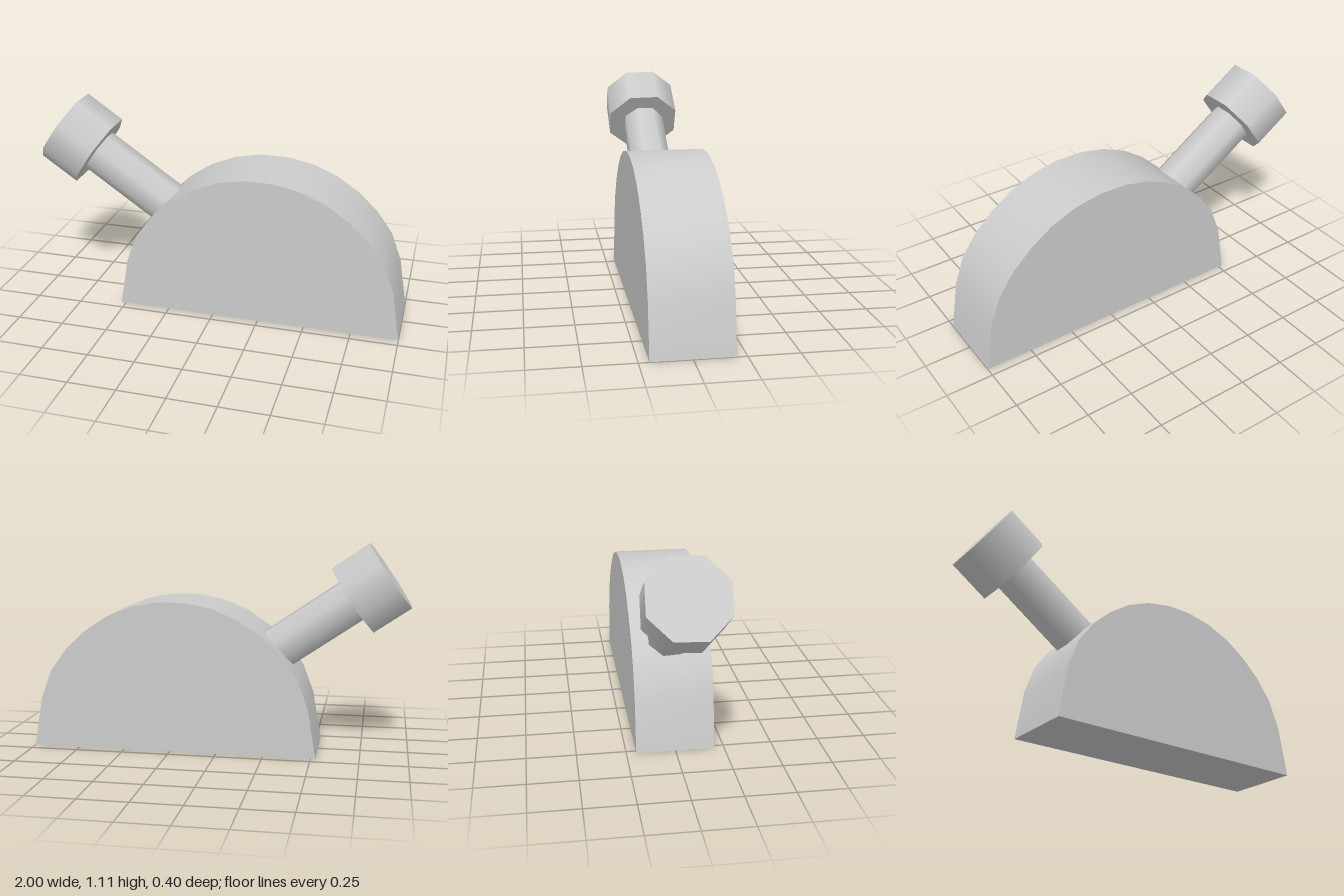
import * as THREE from 'three';
import { toCreasedNormals } from 'three/addons/utils/BufferGeometryUtils.js';

export function createModel() {
  const model = new THREE.Group();
  const material = new THREE.MeshStandardMaterial({ color: 0xcccccc });

  // Half-round block: right half of the outline, mirrored about its centre line
  const centreX = 0.237, depth = 0.4;
  const half = [[0.762, 0], [0.718, 0.265], [0.66, 0.42], [0.573, 0.54],
    [0.468, 0.638], [0.35, 0.717], [0.215, 0.773], [0.075, 0.8]];
  const outline = [
    ...half.map(([x, y]) => new THREE.Vector2(centreX + x, y)),
    ...half.slice().reverse().map(([x, y]) => new THREE.Vector2(centreX - x, y)),
  ];
  const blockGeometry = new THREE.ExtrudeGeometry(new THREE.Shape(outline), { depth, bevelEnabled: false });
  blockGeometry.translate(0, 0, -depth / 2);
  const block = new THREE.Mesh(toCreasedNormals(blockGeometry, 0.7), material);
  block.name = 'halfRoundBlock';
  model.add(block);

  // Tilted bolt: origin under the head, +y pointing out of the block
  const bolt = new THREE.Group();
  bolt.name = 'bolt';
  bolt.position.set(-0.695, 0.8125, 0);
  bolt.rotation.z = 0.97;
  model.add(bolt);

  // Eight-sided bar running from y0 to y1 along the bolt
  function addBar(name, radius, y0, y1, twist) {
    const geometry = new THREE.CylinderGeometry(radius, radius, y1 - y0, 8, 1, false, Math.PI / 8 + twist);
    geometry.translate(0, (y0 + y1) / 2, 0);
    const bar = new THREE.Mesh(geometry, material);
    bar.name = name;
    bolt.add(bar);
    return bar;
  }
  addBar('boltHead', 0.211, 0, 0.23, -0.03);
  addBar('boltShaft', 0.12, -0.6, 0, 0.05).position.z = -0.003;

  return model;
}
